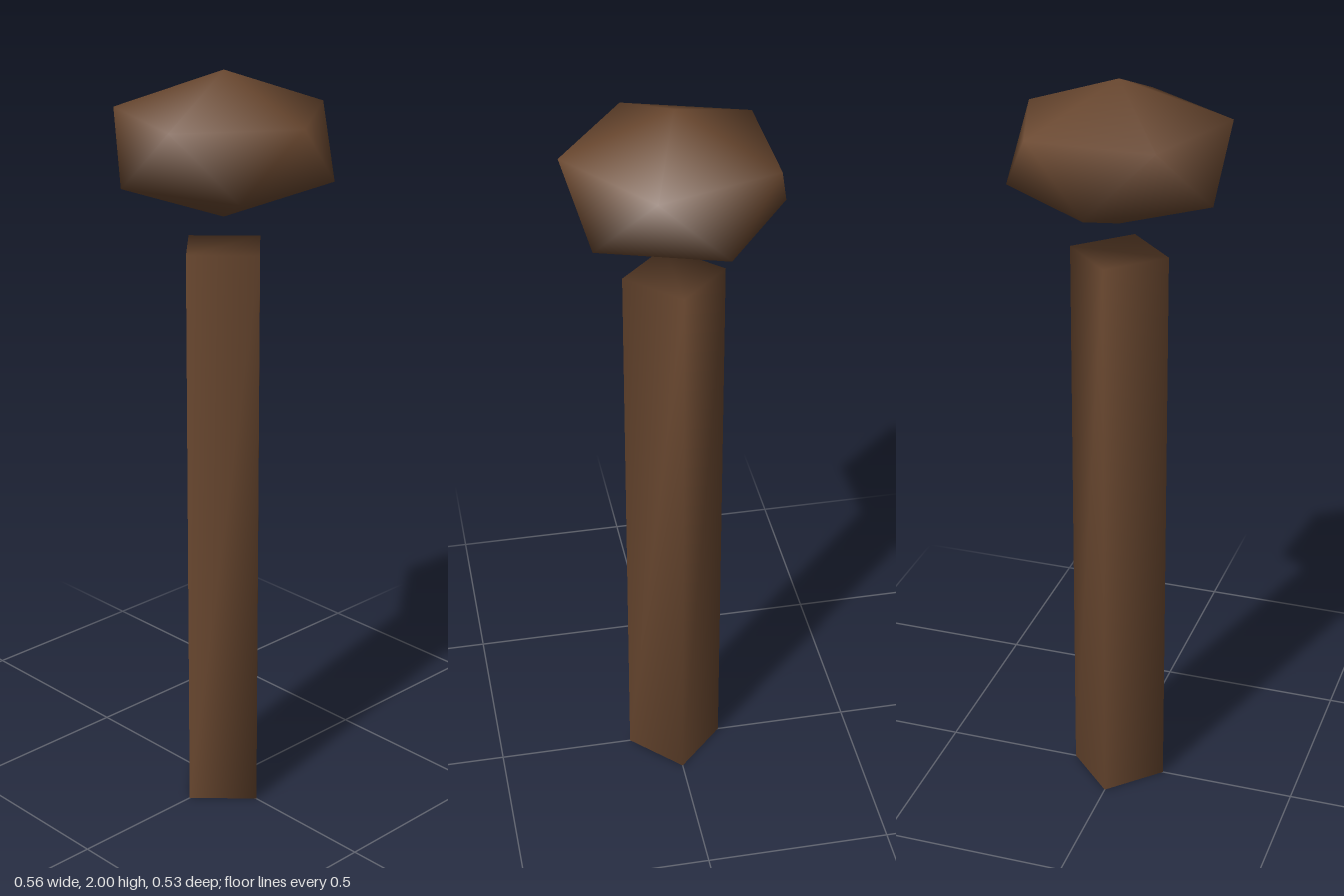
import * as THREE from 'three';
import { mergeVertices } from 'three/addons/utils/BufferGeometryUtils.js';

const SIDES = 5;

// Low-poly knob: two staggered five-point rings between two poles, smooth normals
function knobGeometry(radius, halfHeight) {
  const ringRadius = radius * 2 / Math.sqrt(5);
  const ringY = halfHeight / Math.sqrt(5);
  const points = [new THREE.Vector3(0, halfHeight, 0), new THREE.Vector3(0, -halfHeight, 0)];
  for (let i = 0; i < SIDES; i++) {
    for (const [offset, y] of [[0, ringY], [0.5, -ringY]]) {
      const a = (i + offset) / SIDES * Math.PI * 2;
      points.push(new THREE.Vector3(Math.cos(a) * ringRadius, y, Math.sin(a) * ringRadius));
    }
  }
  const upper = i => 2 + (i % SIDES) * 2;
  const lower = i => upper(i) + 1;
  const index = [];
  for (let i = 0; i < SIDES; i++) {
    index.push(0, upper(i + 1), upper(i));
    index.push(upper(i), upper(i + 1), lower(i));
    index.push(lower(i), upper(i + 1), lower(i + 1));
    index.push(1, lower(i), lower(i + 1));
  }
  const geometry = new THREE.BufferGeometry().setFromPoints(points);
  geometry.setIndex(index);
  geometry.computeVertexNormals();
  return geometry;
}

// Square post with its corners on the axes and normals shared across edges
function postGeometry(halfDiagonal, height) {
  const side = halfDiagonal * Math.SQRT2;
  let geometry = new THREE.BoxGeometry(side, height, side);
  geometry.deleteAttribute('normal');
  geometry.deleteAttribute('uv');
  geometry = mergeVertices(geometry);
  geometry.rotateY(Math.PI / 4);
  geometry.computeVertexNormals();
  return geometry;
}

export function createModel() {
  const model = new THREE.Group();
  model.name = 'post';
  const wood = new THREE.MeshStandardMaterial({ color: 0x6a4830 });

  // Upright shaft
  const shaft = new THREE.Mesh(postGeometry(0.13, 1.555), wood);
  shaft.name = 'shaft';
  shaft.position.y = 1.555 / 2;
  model.add(shaft);

  // Flattened knob floating above the shaft
  const knob = new THREE.Mesh(knobGeometry(0.311, 0.185), wood);
  knob.name = 'knob';
  knob.position.y = 1.815;
  model.add(knob);

  return model;
}
